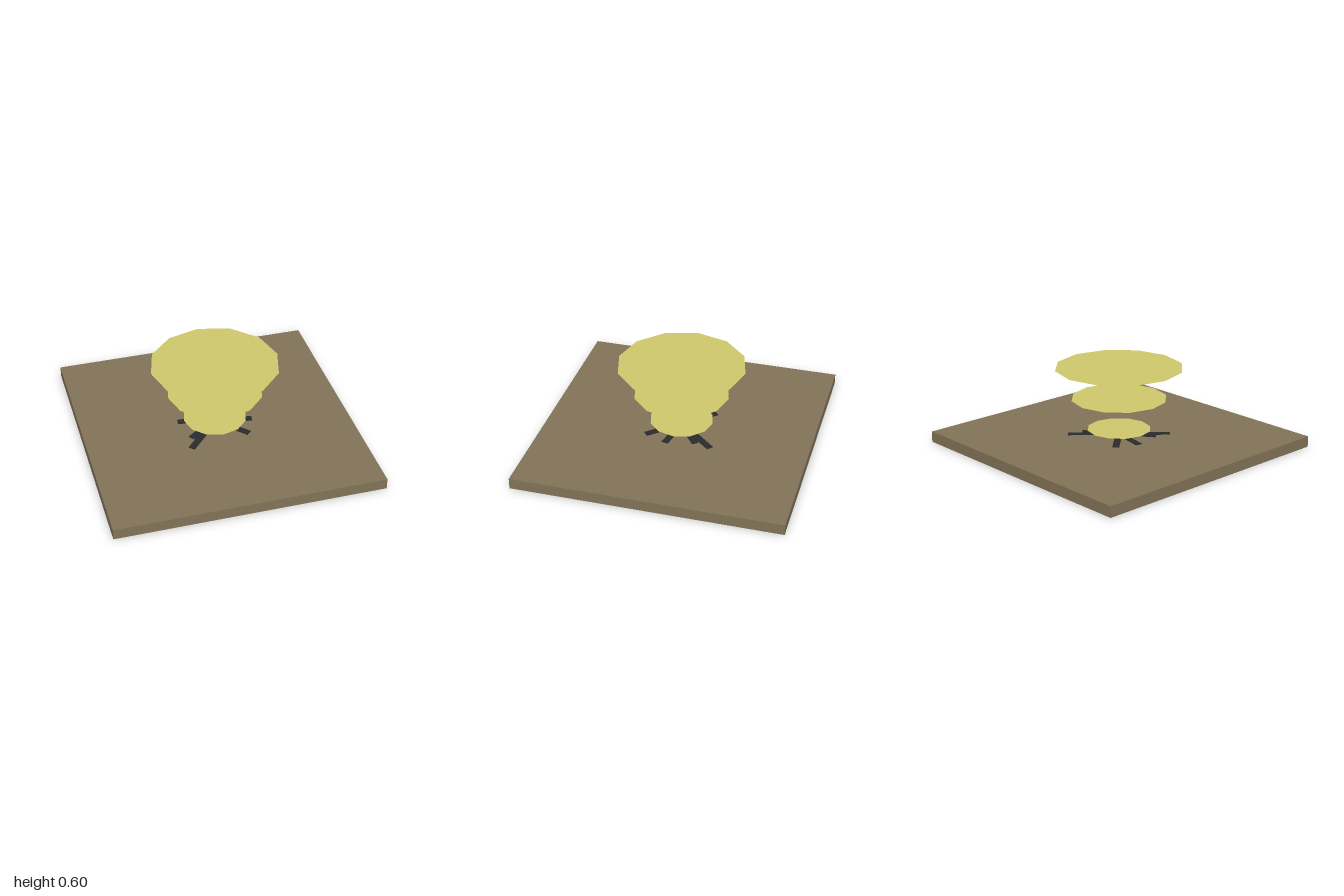
import * as THREE from 'three';

export function createModel() {
  const model = new THREE.Group();
  const material = (name, color, extra = {}) => {
    const m = new THREE.MeshStandardMaterial({ color, flatShading: true, ...extra });
    m.name = name;
    return m;
  };
  const earth = material('earth brown', 0x827358);
  const glow = material('pale yellow', 0xcdc76a, { side: THREE.DoubleSide });
  const charcoal = material('charcoal', 0x2a2a2c);

  const add = (name, geometry, mat, y) => {
    const mesh = new THREE.Mesh(geometry, mat);
    mesh.name = name;
    mesh.position.y = y;
    model.add(mesh);
    return mesh;
  };

  // Square ground slab
  const top = 0.082;
  add('groundSlab', new THREE.BoxGeometry(2, top, 2), earth, top / 2);

  // Thin dark bars crossing at the centre: [end x, end z]
  const ends = [[0.275, 0.055], [0.205, 0.222], [-0.255, 0.285], [-0.226, 0.165]];
  ends.forEach(([x, z], i) => {
    const height = 0.005 + i * 0.0003;
    const bar = new THREE.BoxGeometry(2 * Math.hypot(x, z), height, 0.05);
    add('groundBar' + (i + 1), bar, charcoal, top + height / 2).rotation.y = -Math.atan2(z, x);
  });

  // Three flat twelve-sided discs, widening upwards
  [[0.24, 0.126], [0.36, 0.366], [0.48, 0.604]].forEach(([radius, y], i) => {
    const disc = new THREE.CircleGeometry(radius, 12).rotateX(-Math.PI / 2);
    add('floatingDisc' + (i + 1), disc, glow, y);
  });

  return model;
}
